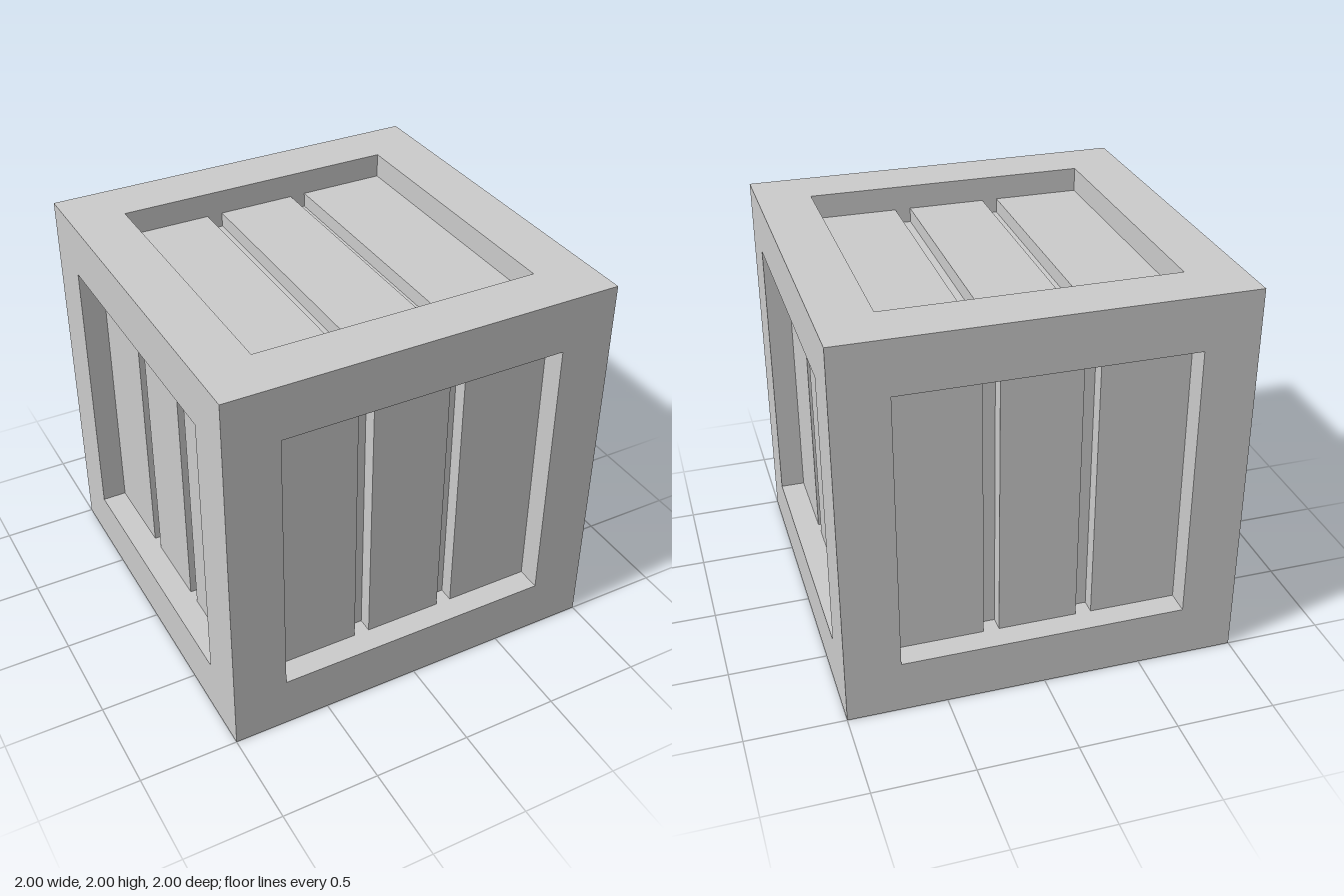
import * as THREE from 'three';

const HALF = 1;          // half the crate's size
const BEAM = 0.275;      // width of the frame beams
const RECESS = 0.125;    // depth of the slats below the frame
const FLOOR = 0.2;       // depth of the gaps between the slats
const OPENING = 2 * (HALF - BEAM);

export function createModel() {
  const crate = new THREE.Group();
  crate.name = 'crate';
  const material = new THREE.MeshStandardMaterial({ color: 0xcccccc, flatShading: true });

  const addBox = (parent, name, size, position) => {
    const mesh = new THREE.Mesh(new THREE.BoxGeometry(...size), material);
    mesh.name = name;
    mesh.position.set(...position);
    parent.add(mesh);
  };

  // Frame: upright posts, with rails fitted between them
  const frame = new THREE.Group();
  frame.name = 'frame';
  const c = HALF - BEAM / 2;
  for (const a of [-c, c]) {
    for (const b of [-c, c]) {
      addBox(frame, 'cornerPost', [BEAM, 2 * HALF, BEAM], [a, 0, b]);
      addBox(frame, 'crossRail', [OPENING, BEAM, BEAM], [0, a, b]);
      addBox(frame, 'sideRail', [BEAM, BEAM, OPENING], [a, b, 0]);
    }
  }
  crate.add(frame);

  // Core: forms the floor of the gaps on every face
  const inner = 2 * (HALF - FLOOR);
  addBox(crate, 'core', [inner, inner, inner], [0, 0, 0]);

  // Slats: three boards in each of the six openings
  const boards = [[-0.725, -0.28], [-0.2, 0.2], [0.28, 0.725]];
  const faces = {
    front: [0, 0], back: [0, Math.PI],
    left: [0, Math.PI / 2], right: [0, -Math.PI / 2],
    top: [-Math.PI / 2, 0], bottom: [Math.PI / 2, 0],
  };
  const thickness = FLOOR - RECESS;
  for (const [side, [rx, ry]] of Object.entries(faces)) {
    const panel = new THREE.Group();
    panel.name = side + 'Slats';
    panel.rotation.set(rx, ry, 0);
    for (const [x0, x1] of boards) {
      addBox(panel, 'slat', [x1 - x0, OPENING, thickness],
        [(x0 + x1) / 2, 0, HALF - RECESS - thickness / 2]);
    }
    crate.add(panel);
  }

  // Stand the crate on the ground
  crate.position.y = HALF;
  const model = new THREE.Group();
  model.name = 'model';
  model.add(crate);
  return model;
}
